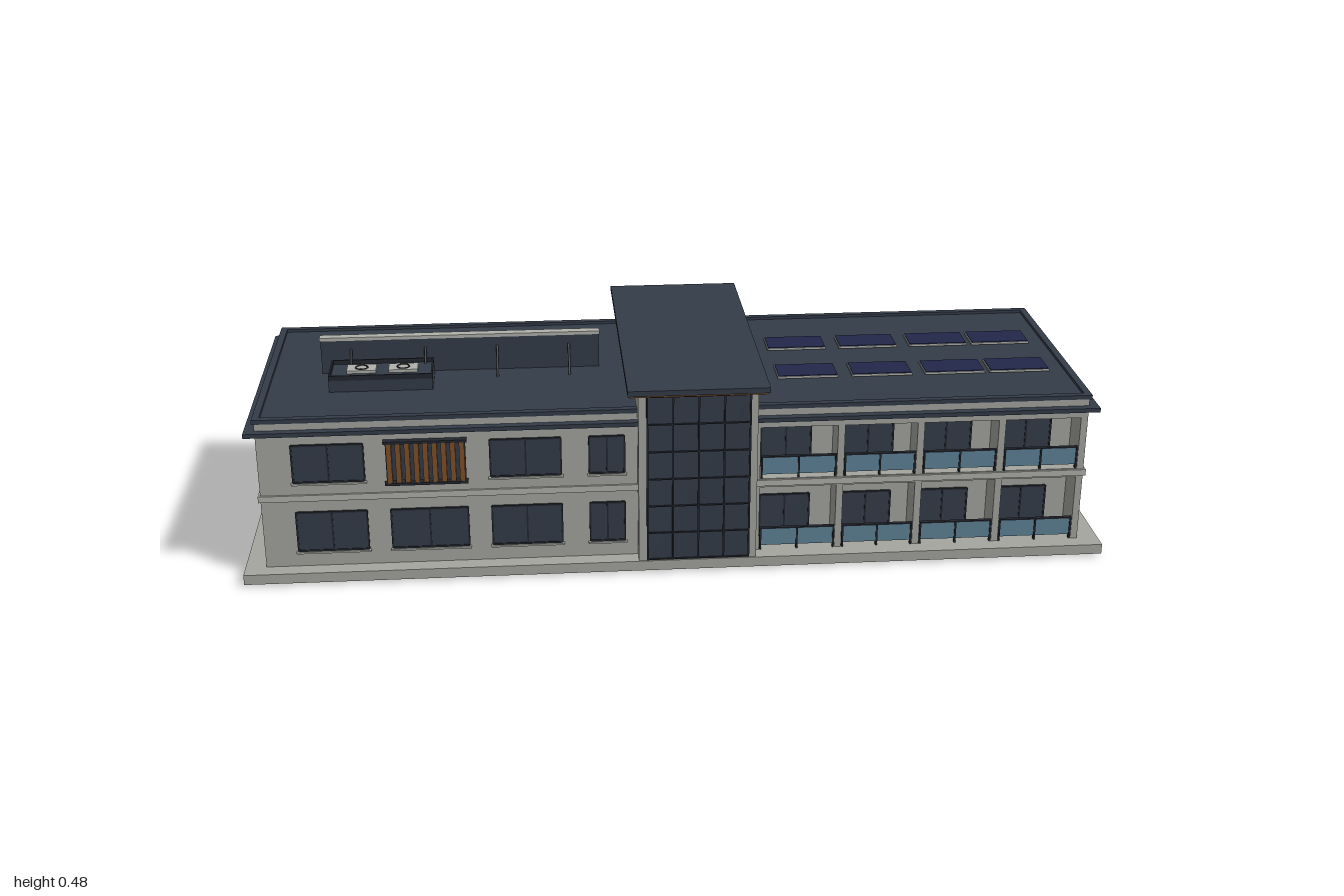
import * as THREE from 'three';

const mat = (name, color) => {
  const m = new THREE.MeshStandardMaterial({ color });
  m.name = name;
  return m;
};

export function createModel() {
  const root = new THREE.Group();
  root.name = 'building';
  const wall = mat('wall grey', 0xa6a6a1);
  const trim = mat('pale trim', 0xb2b2ac);
  const slate = mat('slate roof', 0x343c49);
  const pane = mat('dark window', 0x353d4a);
  const metal = mat('dark metal', 0x23272f);
  const wood = mat('wood', 0x80502a);
  const glass = mat('balcony glass', 0x5f8499);
  const solar = mat('solar navy', 0x23284a);

  // Box given by its limits on each axis
  const box = (name, m, x0, x1, y0, y1, z0, z1, parent = root) => {
    const mesh = new THREE.Mesh(new THREE.BoxGeometry(x1 - x0, y1 - y0, z1 - z0), m);
    mesh.position.set((x0 + x1) / 2, (y0 + y1) / 2, (z0 + z1) / 2);
    mesh.name = name;
    parent.add(mesh);
    return mesh;
  };
  // Thin rod between two points
  const rod = (name, m, a, b, r = 0.003) => {
    const p = new THREE.Vector3(...a), q = new THREE.Vector3(...b);
    const mesh = new THREE.Mesh(new THREE.CylinderGeometry(r, r, p.distanceTo(q), 8), m);
    mesh.position.copy(p).add(q).multiplyScalar(0.5);
    mesh.quaternion.setFromUnitVectors(new THREE.Vector3(0, 1, 0), q.sub(p).normalize());
    mesh.name = name;
    root.add(mesh);
  };
  // Facade group: local x runs along the wall, local z points outwards
  const facade = (name, x, z, turn) => {
    const g = new THREE.Group();
    g.name = name;
    g.position.set(x, 0, z);
    g.rotation.y = turn;
    root.add(g);
    return g;
  };
  // Window with frame, central mullion and sill
  const windowAt = (g, x0, x1, y0, y1, sill = true) => {
    box('windowPane', pane, x0, x1, y0, y1, -0.002, 0.003, g);
    for (const x of [x0, (x0 + x1) / 2, x1]) box('windowFrame', metal, x - 0.002, x + 0.002, y0, y1, 0, 0.005, g);
    for (const y of [y0, y1]) box('windowFrame', metal, x0, x1, y - 0.002, y + 0.002, 0, 0.005, g);
    if (sill) box('windowSill', trim, x0 - 0.005, x1 + 0.005, y0 - 0.006, y0 - 0.002, 0, 0.009, g);
  };
  const LOW = [0.07, 0.166], HIGH = [0.242, 0.332];

  // Plinth and wings
  box('plinth', wall, -1, 1, 0.006, 0.03, -0.283, 0.395);
  box('rightWing', wall, -0.952, -0.09, 0.03, 0.388, -0.24, 0.356);
  box('leftWingCore', wall, 0.17, 0.95, 0.03, 0.388, -0.24, 0.285);
  box('leftWingParapet', wall, 0.17, 0.95, 0.34, 0.388, 0.28, 0.356);
  box('balconySlab', wall, 0.17, 0.95, 0.19, 0.212, 0.28, 0.356);
  for (const x of [0.18, 0.375, 0.56, 0.75, 0.942])
    box('balconyFin', wall, x - 0.008, x + 0.008, 0.03, 0.345, 0.28, 0.356);

  // Floor band, cornices and flat roof
  for (const [x0, x1] of [[-0.957, -0.09], [0.17, 0.955]]) {
    const e = x0 < 0 ? -1 : 1;
    box('floorBand', trim, x0, x1, 0.195, 0.21, -0.248, 0.361);
    const c0 = e < 0 ? -0.976 : x0, c1 = e < 0 ? x1 : 0.972;
    box('lowerCornice', slate, c0, c1, 0.36, 0.37, -0.264, 0.374);
    box('roofDeck', slate, x0, x1, 0.386, 0.39, -0.246, 0.357);
    box('parapetCap', slate, x0, x1, 0.388, 0.397, 0.343, 0.359);
    box('parapetCap', slate, x0, x1, 0.388, 0.397, -0.248, -0.232);
    box('parapetCap', slate, e < 0 ? x0 : x1 - 0.016, e < 0 ? x0 + 0.016 : x1, 0.388, 0.397, -0.248, 0.359);
  }

  // Central tower with glazed front and back
  box('tower', wall, -0.095, 0.177, 0.03, 0.45, -0.28, 0.392);
  box('towerSoffit', wood, -0.115, 0.196, 0.446, 0.451, -0.305, 0.414);
  box('towerRoof', slate, -0.12, 0.2, 0.451, 0.464, -0.312, 0.42);
  for (const [z, turn] of [[0.392, 0], [-0.28, Math.PI]]) {
    const g = facade('towerGlazing', 0.042, z, turn);
    box('curtainGlass', pane, -0.117, 0.117, 0.033, 0.442, -0.002, 0.003, g);
    for (let i = 0; i <= 4; i++) {
      const x = -0.117 + i * 0.0585;
      box('mullion', metal, x - 0.002, x + 0.002, 0.033, 0.442, 0, 0.006, g);
    }
    for (let i = 0; i <= 6; i++) {
      const y = 0.035 + i * 0.0675;
      box('transom', metal, -0.117, 0.117, y - 0.0015, y + 0.0015, 0, 0.006, g);
    }
  }

  // Wooden slat screen over a dark opening
  const slats = (g, x0, x1) => {
    box('screenBacking', pane, x0, x1, 0.24, 0.335, -0.002, 0.003, g);
    for (let i = 0; i < 9; i++) {
      const x = x0 + 0.008 + i * (x1 - x0 - 0.016) / 8;
      box('woodSlat', wood, x - 0.006, x + 0.006, 0.237, 0.337, 0.003, 0.014, g);
    }
    for (const y of [0.235, 0.337]) box('screenRail', metal, x0 - 0.004, x1 + 0.004, y - 0.003, y + 0.003, 0, 0.016, g);
  };

  // Front windows of the right wing
  const front = facade('frontFacade', 0, 0.356, 0);
  for (const [x0, x1] of [[-0.875, -0.715], [-0.43, -0.27], [-0.205, -0.125]])
    for (const h of [LOW, HIGH]) windowAt(front, x0, x1, ...h);
  windowAt(front, -0.66, -0.485, ...LOW);
  slats(front, -0.665, -0.485);

  // Balcony bays: door, glass balustrade and rail
  const recess = facade('balconyFacade', 0, 0.285, 0);
  for (const [x0, x1] of [[0.19, 0.366], [0.384, 0.551], [0.569, 0.741], [0.759, 0.933]])
    for (const y of [0.03, 0.212]) {
      windowAt(recess, x0 + 0.008, x0 + 0.125, y + 0.003, y + 0.108, false);
      box('balconyGlass', glass, x0, x1, y + 0.01, y + 0.052, 0.349, 0.354);
      box('balconyRail', metal, x0, x1, y + 0.052, y + 0.055, 0.347, 0.356);
      for (const x of [x0 + 0.002, (x0 + x1) / 2, x1 - 0.002])
        box('balconyPost', metal, x - 0.002, x + 0.002, y, y + 0.053, 0.348, 0.357);
    }

  // End walls, two windows on each floor
  for (const [x, turn, s] of [[0.95, Math.PI / 2, -1], [-0.952, -Math.PI / 2, 1]]) {
    const g = facade('endFacade', x, 0, turn);
    for (const z of [0.162, -0.053])
      for (const h of [LOW, HIGH]) windowAt(g, s * z - 0.048, s * z + 0.048, ...h);
  }

  // Back windows (local x is mirrored), slats and wall units
  const back = facade('backFacade', 0, -0.24, Math.PI);
  for (const x of [-0.81, -0.625, -0.43, -0.265])
    for (const h of [LOW, HIGH])
      if (!(x === -0.43 && h === LOW)) windowAt(back, x - 0.055, x + 0.055, ...h);
  for (const x of [0.205, 0.41, 0.575]) windowAt(back, x - 0.06, x + 0.06, ...HIGH);
  windowAt(back, 0.145, 0.265, ...LOW);
  windowAt(back, 0.735, 0.895, ...LOW);
  slats(back, 0.71, 0.89);
  windowAt(back, 0.4, 0.6, 0.032, 0.165, false);
  windowAt(back, -0.49, -0.41, 0.032, 0.135, false);
  for (const x of [-0.715, -0.345])
    for (const y of [0.078, 0.247]) {
      box('wallUnit', trim, x - 0.022, x + 0.022, y, y + 0.026, 0, 0.014, back);
      for (let i = 0; i < 4; i++)
        box('wallUnitGrille', metal, x - 0.018, x + 0.018, y + 0.003 + i * 0.006, y + 0.006 + i * 0.006, 0.013, 0.019, back);
    }

  // Main entrance: canopy, posts and steps
  box('entranceCanopy', slate, -0.726, -0.27, 0.201, 0.213, -0.418, -0.24);
  box('entranceSoffit', wood, -0.718, -0.278, 0.197, 0.202, -0.41, -0.24);
  for (const x of [-0.685, -0.315]) {
    box('canopyPost', metal, x - 0.006, x + 0.006, 0.02, 0.2, -0.396, -0.384);
    box('postFooting', trim, x - 0.014, x + 0.014, 0.005, 0.028, -0.405, -0.379);
  }
  for (let i = 0; i < 3; i++)
    box('entranceStep', trim, -0.67, -0.33, 0.02 - i * 0.0075, 0.026 - i * 0.0075, -0.318 - i * 0.021, -0.278 - i * 0.021);
  // Sloping side ramp with handrail
  const ramp = box('ramp', trim, -0.285, -0.227, 0.011, 0.017, -0.42, -0.272);
  ramp.rotation.x = 0.125;
  for (const x of [-0.285, -0.229]) {
    rod('rampRail', metal, [x, 0.065, -0.28], [x, 0.042, -0.416], 0.002);
    rod('rampPost', metal, [x, 0.012, -0.345], [x, 0.053, -0.345], 0.0015);
    rod('rampPost', metal, [x, 0.015, -0.414], [x, 0.048, -0.414], 0.0015);
  }

  // Side entrance: small canopy and steps
  box('sideCanopy', slate, 0.355, 0.545, 0.15, 0.159, -0.325, -0.238);
  box('sideSoffit', wood, 0.36, 0.54, 0.146, 0.151, -0.318, -0.238);
  box('sideStep', trim, 0.38, 0.52, 0.012, 0.022, -0.315, -0.28);
  box('sideStep', trim, 0.37, 0.53, 0, 0.011, -0.335, -0.28);

  // Roof screen with braces
  box('roofScreen', slate, -0.826, -0.168, 0.388, 0.472, 0.045, 0.064);
  box('screenCap', trim, -0.828, -0.166, 0.472, 0.48, 0.044, 0.066);
  for (const x of [-0.755, -0.58, -0.41, -0.24])
    for (const s of [-1, 1]) rod('screenBrace', metal, [x, 0.45, 0.055 + s * 0.01], [x, 0.388, 0.055 + s * 0.06], 0.003);

  // Roof cooling unit with two fans
  box('coolingUnit', slate, -0.8, -0.56, 0.388, 0.42, 0.08, 0.185);
  for (const z of [0.08, 0.182]) box('coolingRim', metal, -0.8, -0.56, 0.418, 0.43, z, z + 0.004);
  for (const x of [-0.8, -0.564]) box('coolingRim', metal, x, x + 0.004, 0.418, 0.43, 0.08, 0.186);
  for (const x of [-0.727, -0.63]) {
    box('fanHousing', trim, x - 0.034, x + 0.034, 0.419, 0.427, 0.105, 0.147);
    const fan = new THREE.Mesh(new THREE.TorusGeometry(0.014, 0.002, 6, 20), metal);
    fan.rotation.x = Math.PI / 2;
    fan.position.set(x, 0.427, 0.126);
    fan.name = 'fanRing';
    root.add(fan);
  }

  // Solar panels in two rows
  for (const x of [0.32, 0.497, 0.672, 0.828])
    for (const z of [-0.037, 0.152]) {
      box('panelFrame', trim, x - 0.072, x + 0.072, 0.393, 0.398, z - 0.039, z + 0.039);
      box('solarPanel', solar, x - 0.07, x + 0.07, 0.395, 0.4, z - 0.037, z + 0.037);
    }
  return root;
}
